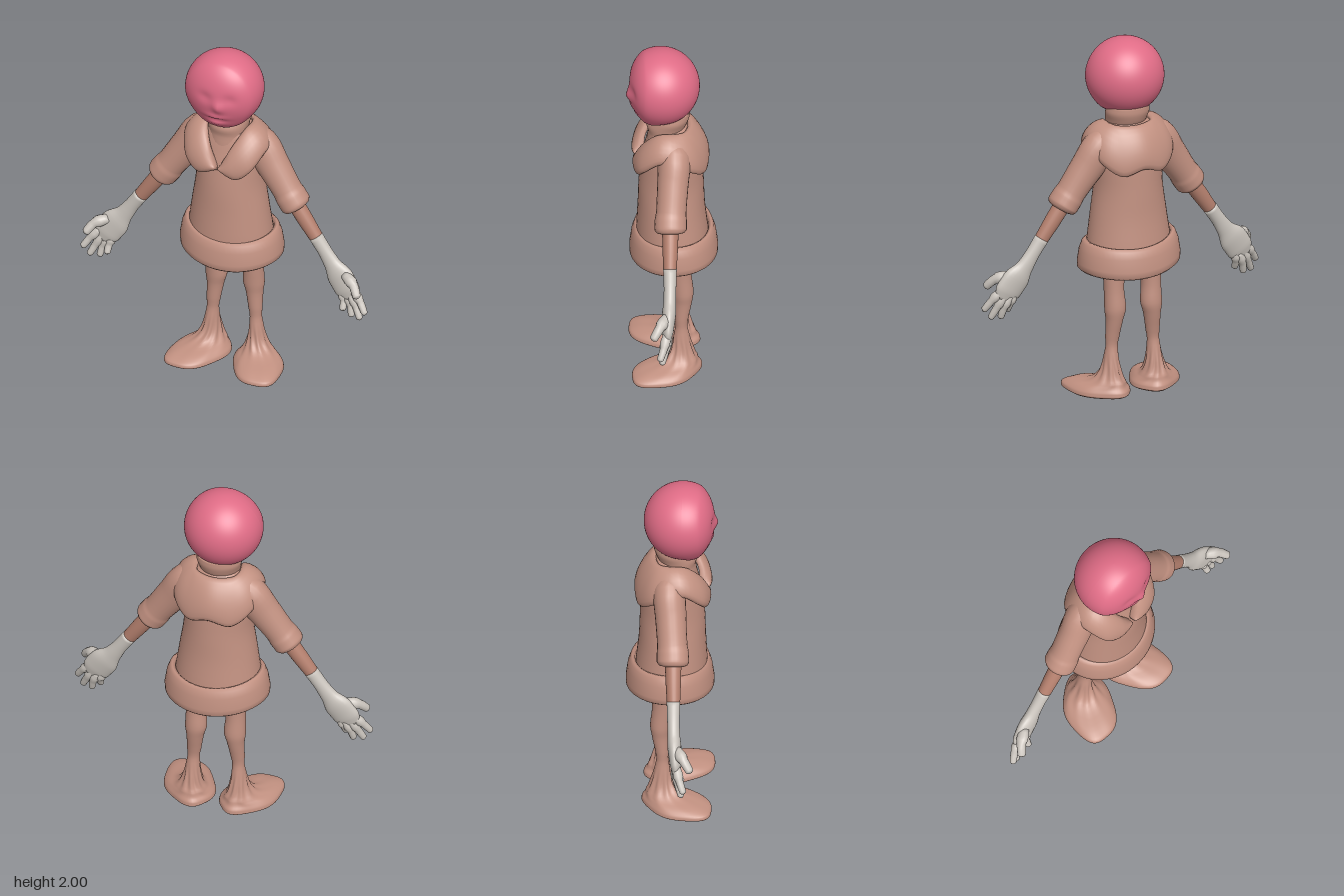
import * as THREE from 'three';
import { mergeGeometries } from 'three/addons/utils/BufferGeometryUtils.js';

const V = (x, y, z) => new THREE.Vector3(x, y, z);
const mat = (name, color) => {
  const m = new THREE.MeshStandardMaterial({ color });
  m.name = name;
  return m;
};

// Joins closed rings of points into a capped, outward-facing skin
function loft(rings, caps = true) {
  const n = rings[0].length, pos = [], idx = [];
  rings.forEach(r => r.forEach(p => pos.push(p.x, p.y, p.z)));
  for (let i = 0; i < rings.length - 1; i++) for (let j = 0; j < n; j++) {
    const a = i * n + j, b = i * n + (j + 1) % n;
    idx.push(a, b, a + n, b, b + n, a + n);
  }
  if (caps) [0, rings.length - 1].forEach(i => {
    const c = V(0, 0, 0);
    rings[i].forEach(p => c.addScaledVector(p, 1 / n));
    const k = pos.length / 3;
    pos.push(c.x, c.y, c.z);
    for (let j = 0; j < n; j++) {
      const a = i * n + j, b = i * n + (j + 1) % n;
      i ? idx.push(a, b, k) : idx.push(b, a, k);
    }
  });
  const at = i => V(pos[i * 3], pos[i * 3 + 1], pos[i * 3 + 2]);
  let volume = 0;
  for (let i = 0; i < idx.length; i += 3) volume += at(idx[i]).dot(at(idx[i + 1]).cross(at(idx[i + 2])));
  if (volume < 0) idx.reverse();
  const g = new THREE.BufferGeometry();
  g.setAttribute('position', new THREE.Float32BufferAttribute(pos, 3));
  g.setIndex(idx);
  g.computeVertexNormals();
  return g;
}

// Smooth skin through stations [x, y, z, halfWidth, halfDepth, yaw]
// level: horizontal sections; ridges(y, angle) scales the section
function body(st, { steps = 4, sides = 24, level = false, ridges = () => 1 } = {}) {
  const path = new THREE.CatmullRomCurve3(st.map(s => V(s[0], s[1], s[2])));
  const size = new THREE.CatmullRomCurve3(st.map(s => V(s[3], s[4], s[5] || 0)));
  const count = (st.length - 1) * steps, rings = [];
  for (let i = 0; i <= count; i++) {
    const c = path.getPoint(i / count), s = size.getPoint(i / count);
    const u = V(Math.cos(s.z), 0, -Math.sin(s.z)), v = V(Math.sin(s.z), 0, Math.cos(s.z));
    if (!level) {
      const t = path.getTangent(i / count);
      v.set(0, 0, 1).addScaledVector(t, -t.z).normalize();
      u.crossVectors(v, t);
    }
    rings.push(Array.from({ length: sides }, (_, j) => {
      const a = j / sides * Math.PI * 2, k = ridges(c.y, a);
      return c.clone().addScaledVector(u, Math.cos(a) * s.x * k).addScaledVector(v, Math.sin(a) * s.y * k);
    }));
  }
  return loft(rings);
}

function mirrored(g) {
  const m = g.clone().scale(-1, 1, 1);
  m.index.array.reverse();
  m.computeVertexNormals();
  return m;
}

// Ball head, flattened in front, with a gently modelled face and a low jaw
function headGeometry() {
  const g = new THREE.SphereGeometry(1, 72, 54), p = g.attributes.position;
  g.scale(0.216, 0.213, 0.212).translate(-0.01, 1.787, 0.062);
  // x, y, push forward, spread x, spread y
  const bumps = [
    [0.025, 1.755, 0.02, 0.03, 0.035], [-0.055, 1.805, -0.01, 0.04, 0.03],
    [0.085, 1.805, -0.01, 0.035, 0.03], [0.005, 1.685, 0.012, 0.055, 0.016],
    [0.005, 1.662, -0.01, 0.05, 0.01], [0, 1.64, 0.012, 0.05, 0.018],
  ];
  for (let i = 0; i < p.count; i++) {
    const x = p.getX(i), y = p.getY(i), z = p.getZ(i);
    const front = THREE.MathUtils.smoothstep(z, 0.1, 0.17);
    let push = 0;
    for (const [bx, by, d, sx, sy] of bumps)
      push += d * Math.exp(-(((x - bx) / sx) ** 2) - ((y - by) / sy) ** 2);
    const jaw = THREE.MathUtils.smoothstep(1.68 - y, 0, 0.09) * THREE.MathUtils.smoothstep(z, 0.04, 0.13);
    p.setY(i, y - 0.014 * jaw);
    p.setZ(i, (z > 0.15 ? 0.15 + (z - 0.15) * 0.69 : z) + push * front);
  }
  g.computeVertexNormals();
  return g;
}

// Draped collar: padded sections swept from one lapel round the back to the other
function collarGeometry() {
  const curve = half => new THREE.CatmullRomCurve3([
    ...half.map(p => V(...p)),
    ...half.slice(0, -1).reverse().map(([x, y, z]) => V(-x, y, z)),
  ]);
  const neck = curve([[0.008, 1.335, 0.165], [0.055, 1.44, 0.15], [0.108, 1.54, 0.07],
    [0.12, 1.552, -0.01], [0.1, 1.55, -0.06], [0, 1.545, -0.09]]);
  const edge = curve([[0.008, 1.315, 0.175], [0.11, 1.288, 0.188], [0.185, 1.345, 0.17],
    [0.238, 1.435, 0.06], [0.215, 1.36, -0.09], [0.12, 1.29, -0.165], [0, 1.32, -0.188]]);
  const rings = [], count = 72;
  for (let i = 0; i <= count; i++) {
    const a = neck.getPoint(i / count), b = edge.getPoint(i / count);
    const mid = a.clone().add(b).multiplyScalar(0.5), half = b.clone().sub(a).multiplyScalar(0.5);
    const out = edge.getTangent(i / count).cross(half).normalize();
    if (out.dot(V(mid.x, 0.12, mid.z)) < 0) out.negate();
    rings.push(Array.from({ length: 20 }, (_, j) => {
      const t = j / 20 * Math.PI * 2, c = Math.cos(t), s = Math.sin(t);
      const thick = 0.026 * Math.sign(s) * Math.abs(s) ** 0.6;
      return mid.clone().addScaledVector(half, c).addScaledVector(out, thick + 0.018 * (1 - c * c));
    }));
  }
  return loft(rings);
}

export function createModel() {
  const model = new THREE.Group();
  model.name = 'figure';
  const pink = mat('headPink', 0xe06c86), clay = mat('clayBrown', 0xc29181);
  const skin = mat('forearmBrown', 0xb5806e), pale = mat('gloveGrey', 0xcbc5be);
  const add = (name, geometry, material) => {
    const m = new THREE.Mesh(geometry, material);
    m.name = name;
    model.add(m);
  };
  const pair = (name, g, material) => {
    add('left' + name, g, material);
    add('right' + name, mirrored(g), material);
  };

  add('head', headGeometry(), pink);
  add('neck', body([[0, 1.34, 0.06, 0.1, 0.085], [0, 1.42, 0.05, 0.105, 0.09], [0, 1.50, 0.042, 0.108, 0.09],
    [0, 1.555, 0.03, 0.115, 0.11], [0, 1.60, 0.012, 0.124, 0.107], [0, 1.64, 0, 0.116, 0.095]],
  { level: true, sides: 36 }), clay);

  // Coat: hollow at the bottom, with a thick, slightly tilted rolled hem
  add('coat', body([[0, 1.56, 0.02, 0.09, 0.08], [0, 1.52, 0.01, 0.14, 0.11], [0, 1.44, 0, 0.185, 0.14],
    [0, 1.34, 0, 0.19, 0.165], [0, 1.2, 0.005, 0.19, 0.175], [0, 1.02, 0.005, 0.215, 0.182],
    [0, 0.84, 0, 0.238, 0.195], [0, 0.82, 0, 0.225, 0.185], [0, 0.96, 0, 0.19, 0.165]],
  { level: true, sides: 48 }), clay);
  const hemProfile = [[0.82, 0.225, 0.18], [0.88, 0.232, 0.19], [0.885, 0.25, 0.203], [0.87, 0.265, 0.217],
    [0.83, 0.28, 0.23], [0.76, 0.291, 0.24], [0.728, 0.289, 0.24], [0.715, 0.275, 0.227], [0.73, 0.25, 0.205],
    [0.82, 0.225, 0.18]];
  add('hem', loft(hemProfile.map(([y, rx, rz]) => Array.from({ length: 56 }, (_, j) => {
    const a = j / 56 * Math.PI * 2, tilt = 0.012 * (Math.cos(2 * a) - Math.cos(a)) - 0.005 * Math.sin(a);
    return V(rx * Math.cos(a) + 0.003, y + tilt, rz * Math.sin(a) - 0.008);
  })), false), clay);
  add('collar', collarGeometry(), clay);

  // Arms: wide sleeve with a turned cuff, bare forearm, gloved hand
  pair('Sleeve', body([[0.10, 1.45, -0.005, 0.07, 0.07], [0.17, 1.42, -0.005, 0.105, 0.09],
    [0.25, 1.315, 0.007, 0.094, 0.085], [0.34, 1.187, 0.02, 0.082, 0.082], [0.362, 1.155, 0.023, 0.086, 0.087],
    [0.389, 1.117, 0.025, 0.086, 0.088], [0.402, 1.098, 0.025, 0.074, 0.075], [0.406, 1.092, 0.025, 0.05, 0.05]]), clay);
  pair('Forearm', body([[0.36, 1.16, 0.025, 0.048, 0.046], [0.45, 1.03, 0.03, 0.045, 0.042],
    [0.53, 0.915, 0.035, 0.038, 0.035]]), skin);
  const digits = [ // root, knuckle, tip
    [[0.70, 0.75, 0.06], [0.765, 0.725, 0.1], [0.8, 0.68, 0.135]],
    [[0.745, 0.67, 0.06], [0.795, 0.615, 0.078], [0.831, 0.562, 0.1]],
    [[0.725, 0.65, 0.055], [0.767, 0.575, 0.07], [0.796, 0.515, 0.088]],
    [[0.70, 0.635, 0.05], [0.73, 0.57, 0.06], [0.743, 0.512, 0.075]],
    [[0.675, 0.64, 0.05], [0.692, 0.59, 0.062], [0.696, 0.543, 0.085]],
  ];
  const hand = [body([[0.515, 0.938, 0.034, 0.041, 0.037], [0.565, 0.865, 0.036, 0.04, 0.034],
    [0.615, 0.79, 0.04, 0.05, 0.034], [0.665, 0.725, 0.047, 0.08, 0.037],
    [0.71, 0.66, 0.055, 0.079, 0.032], [0.737, 0.615, 0.06, 0.05, 0.02]])];
  digits.forEach(([a, b, c], i) => {
    const r = i ? 0.021 : 0.026, end = c.map((v, k) => v + (c[k] - b[k]) * 0.16);
    hand.push(body([[...a, r, r], [...b, r, r], [...c, r * 0.85, r * 0.85], [...end, r * 0.3, r * 0.3]], { sides: 12 }));
  });
  pair('Glove', mergeGeometries(hand), pale);

  // Legs: knobbly knees, ridged ankles flaring into broad, lumpy, turned-out feet
  const ridges = (y, a) => 1 + 0.09 * Math.cos(9 * a) * Math.exp(-(((y - 0.14) / 0.06) ** 2))
    + 0.03 * Math.cos(5 * a) * (1 - THREE.MathUtils.smoothstep(y, 0.03, 0.1));
  pair('Leg', body([[0.11, 0.92, -0.03, 0.07, 0.065], [0.11, 0.72, -0.04, 0.063, 0.058],
    [0.113, 0.6, -0.045, 0.055, 0.056], [0.11, 0.5, -0.054, 0.06, 0.057], [0.115, 0.43, -0.054, 0.048, 0.048],
    [0.124, 0.32, -0.045, 0.038, 0.036], [0.13, 0.22, -0.045, 0.039, 0.043, 0.2],
    [0.135, 0.13, -0.045, 0.055, 0.065, 0.35], [0.145, 0.08, -0.03, 0.082, 0.105, 0.48],
    [0.168, 0.052, 0.02, 0.115, 0.168, 0.5], [0.175, 0.03, 0.038, 0.133, 0.202, 0.5],
    [0.175, 0.012, 0.04, 0.137, 0.206, 0.5], [0.175, 0, 0.04, 0.122, 0.19, 0.5]],
  { level: true, sides: 54, ridges }), clay);
  return model;
}
